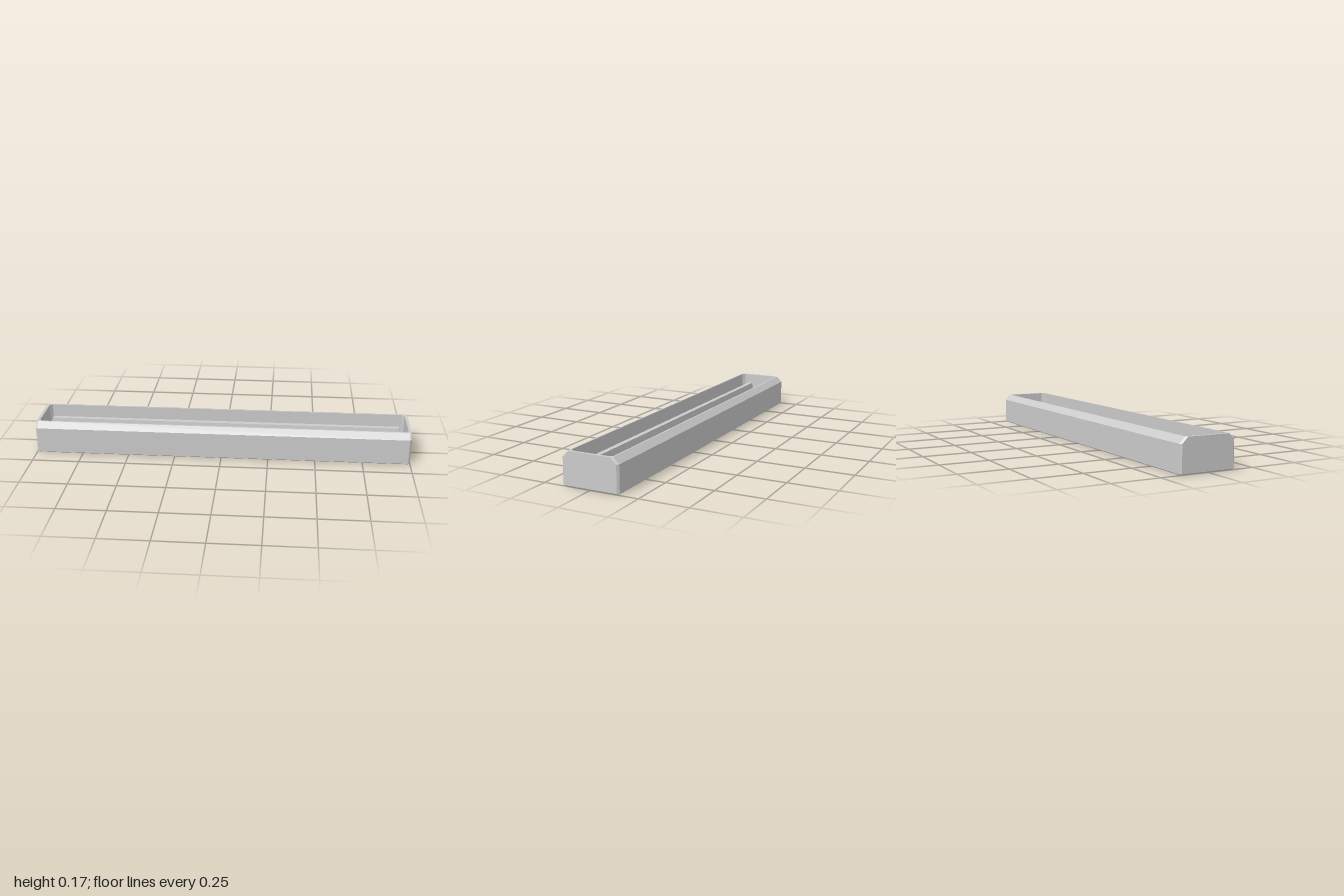
import * as THREE from 'three';

const material = new THREE.MeshStandardMaterial({ color: 0xcccccc, flatShading: true, side: THREE.DoubleSide });

// Rectangle in x/z with cut corners, as eight points at height y.
function ring(x, z, cut, y) {
  return [[x, z - cut], [x - cut, z], [cut - x, z], [-x, z - cut],
    [-x, cut - z], [cut - x, -z], [x - cut, -z], [x, cut - z]].map(([px, pz]) => [px, y, pz]);
}

// Skin the rings in order and close the first and last with flat caps.
function loft(rings) {
  const pos = [];
  const tri = (a, b, c) => pos.push(...a, ...b, ...c);
  for (let i = 0; i < rings.length - 1; i++) {
    const a = rings[i], b = rings[i + 1];
    for (let j = 0; j < a.length; j++) {
      const k = (j + 1) % a.length;
      tri(a[j], a[k], b[k]);
      tri(a[j], b[k], b[j]);
    }
  }
  const first = rings[0], last = rings[rings.length - 1];
  for (let j = 1; j < first.length - 1; j++) {
    tri(first[0], first[j + 1], first[j]);
    tri(last[0], last[j], last[j + 1]);
  }
  // The rings turn clockwise seen from above, so swap every triangle to face outward.
  for (let i = 0; i < pos.length; i += 9) {
    for (let n = 0; n < 3; n++) [pos[i + 3 + n], pos[i + 6 + n]] = [pos[i + 6 + n], pos[i + 3 + n]];
  }
  const geometry = new THREE.BufferGeometry();
  geometry.setAttribute('position', new THREE.Float32BufferAttribute(pos, 3));
  geometry.computeVertexNormals();
  return geometry;
}

export function createModel() {
  const model = new THREE.Group();
  const add = (name, geometry) => {
    const mesh = new THREE.Mesh(geometry, material);
    mesh.name = name;
    model.add(mesh);
    return mesh;
  };

  // Open tray: bevelled foot, straight sides, chamfered long edges, rim, inside walls, floor
  add('tray', loft([
    ring(0.996, 0.146, 0.01, 0),
    ring(1, 0.15, 0.01, 0.004),
    ring(1, 0.15, 0.01, 0.14),
    ring(1, 0.12, 0.01, 0.17),
    ring(0.985, 0.112, 0.014, 0.17),
    ring(0.985, 0.112, 0.014, 0.02),
  ]));

  // Two tapered ribs along the floor
  for (const side of [-1, 1]) {
    const rib = add(side > 0 ? 'frontRib' : 'backRib', loft([
      ring(0.985, 0.027, 0.004, 0.018),
      ring(0.955, 0.013, 0.004, 0.122),
    ]));
    rib.position.z = side * 0.05;
  }
  return model;
}
